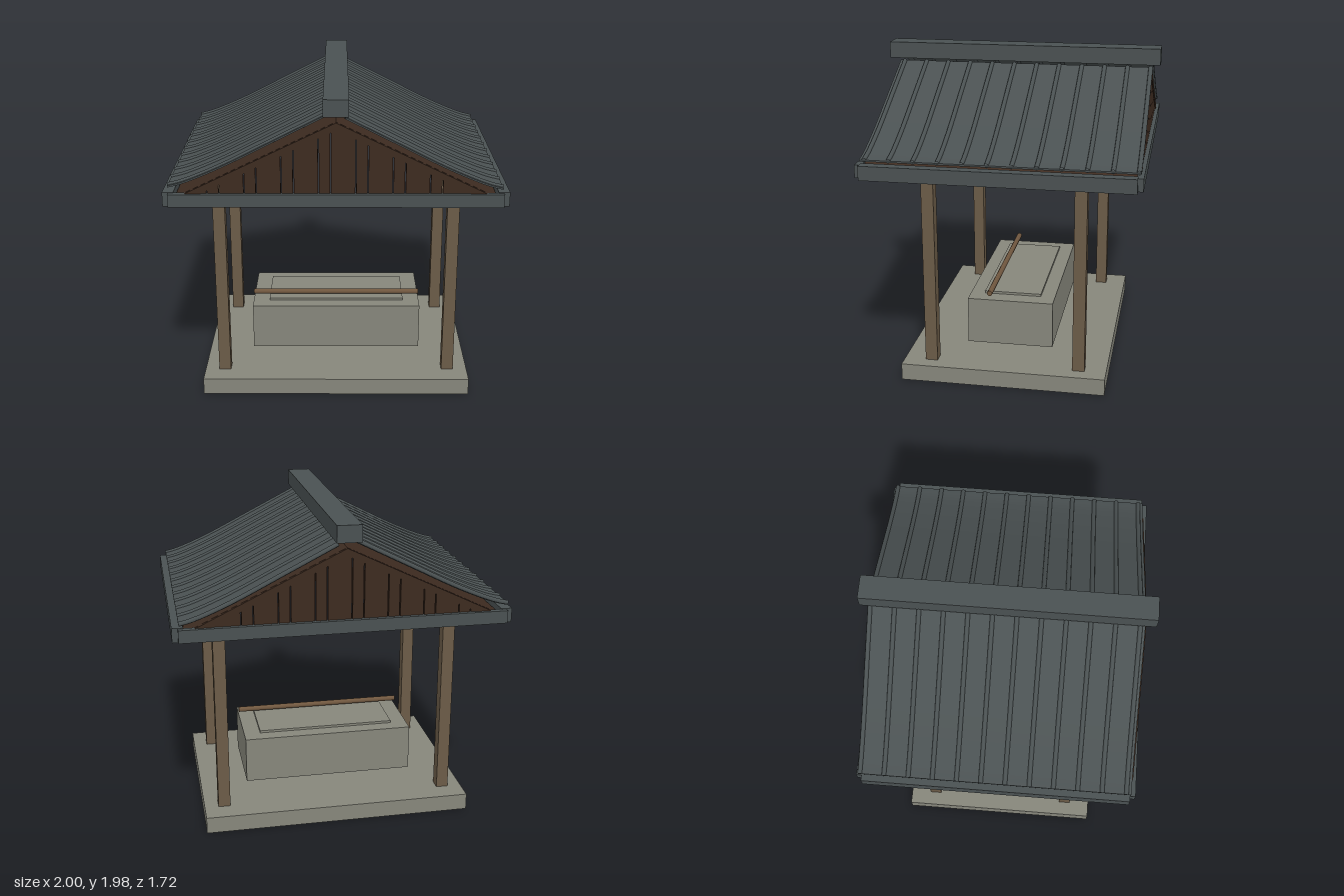
import * as THREE from 'three';

const mat = (name, color, side = THREE.FrontSide) => {
  const m = new THREE.MeshStandardMaterial({ color, side });
  m.name = name;
  return m;
};

export function createModel() {
  const stone = mat('stone', 0x86867b);
  const postWood = mat('post wood', 0x6b5b47);
  const darkWood = mat('dark wood', 0x3d2b20);
  const poleWood = mat('pole wood', 0x70573f);
  const slate = mat('slate', 0x4a5152, THREE.DoubleSide);

  const model = new THREE.Group();
  model.name = 'waterPavilion';

  const add = (name, geo, material, x = 0, y = 0, z = 0) => {
    const m = new THREE.Mesh(geo, material);
    m.name = name;
    m.position.set(x, y, z);
    model.add(m);
    return m;
  };
  // box from its min and max heights, centred on x and z
  const box = (name, w, y0, y1, d, material, x = 0, z = 0) =>
    add(name, new THREE.BoxGeometry(w, y1 - y0, d), material, x, (y0 + y1) / 2, z);
  // outline in x, y extruded from z0 to z1
  const slab = (name, pts, z0, z1, material) => {
    const shape = new THREE.Shape(pts.map(p => new THREE.Vector2(p[0], p[1])));
    const geo = new THREE.ExtrudeGeometry(shape, { depth: z1 - z0, bevelEnabled: false });
    return add(name, geo, material, 0, 0, z0);
  };

  // base, basin and ladle pole
  box('base', 1.68, 0, 0.105, 1.26, stone);
  box('basin', 1.09, 0.15, 0.445, 0.54, stone);
  box('basinTop', 0.88, 0.445, 0.46, 0.36, stone);
  const pole = add('pole', new THREE.CylinderGeometry(0.017, 0.017, 1.09, 12), poleWood, 0, 0.488, 0.13);
  pole.rotation.z = Math.PI / 2;

  // corner posts
  for (const x of [-0.715, 0.715])
    for (const z of [-0.46, 0.46]) box('post', 0.075, 0.105, 1.38, 0.075, postWood, x, z);

  // eave frame
  for (const s of [-1, 1]) {
    box('frontBackEave', 1.93, 1.335, 1.412, 0.04, slate, 0, s * 0.807);
    box('sideEave', 0.065, 1.33, 1.416, 1.59, slate, s * 0.9675, 0);
  }

  // sloped wood: height of the roof line at a given x
  const roofY = x => 1.832 - 0.4826 * Math.abs(x);
  const strip = (top, drop, end) => [
    [-end, roofY(end) - top], [0, roofY(0) - top], [end, roofY(end) - top],
    [end, roofY(end) - drop], [0, roofY(0) - drop], [-end, roofY(end) - drop],
  ];
  slab('roofDeck', strip(0, 0.012, 0.93), -0.79, 0.79, darkWood);
  for (let i = 0; i < 8; i++) {
    const z = -0.79 + i * (1.58 / 7);
    slab('rafter', strip(0.001, 0.045, 0.93), z - 0.018, z + 0.018, darkWood);
  }

  // gable boards, alternately wide and narrow with open joints
  const joints = [-0.83];
  for (let k = -3; k <= 3; k++) joints.push(-0.1 + k * 0.2133, -0.03 + k * 0.2133);
  joints.push(0.83);
  for (const z of [-0.79, 0.79]) {
    for (let i = 0; i < joints.length - 1; i++) {
      const a = joints[i] + 0.003, b = joints[i + 1] - 0.003;
      const top = [[b, roofY(b) - 0.01], [a, roofY(a) - 0.01]];
      if (a < 0 && b > 0) top.splice(1, 0, [0, roofY(0) - 0.01]);
      slab('gableBoard', [[a, 1.38], [b, 1.38], ...top], z - 0.012, z + 0.012, darkWood);
    }
  }

  // curved roof sheets with raised ribs
  const profile = [[0.06, 1.873], [0.37, 1.716], [0.68, 1.561], [0.885, 1.477], [0.967, 1.456]];
  for (const s of [-1, 1]) {
    const dx = s > 0 ? -0.007 : 0, dy = s > 0 ? -0.013 : 0;
    const curve = new THREE.CatmullRomCurve3(
      profile.map(p => new THREE.Vector3(s * p[0] + dx, p[1] + dy, 0)));
    const line = curve.getPoints(16).map(p => [p.x, p.y]);
    const under = line.map(p => [p[0], p[1] - 0.01]).reverse();
    slab('roofSheet', [...line, ...under], -0.812, 0.797, slate);
    for (let k = 0; k < 12; k++)
      add('roofRib', new THREE.TubeGeometry(curve, 16, 0.014, 8), slate, 0, -0.002, 0.768 - k * 0.1425);
  }

  // ridge beam
  box('ridge', 0.146, 1.876, 1.977, 1.72, slate);

  return model;
}
